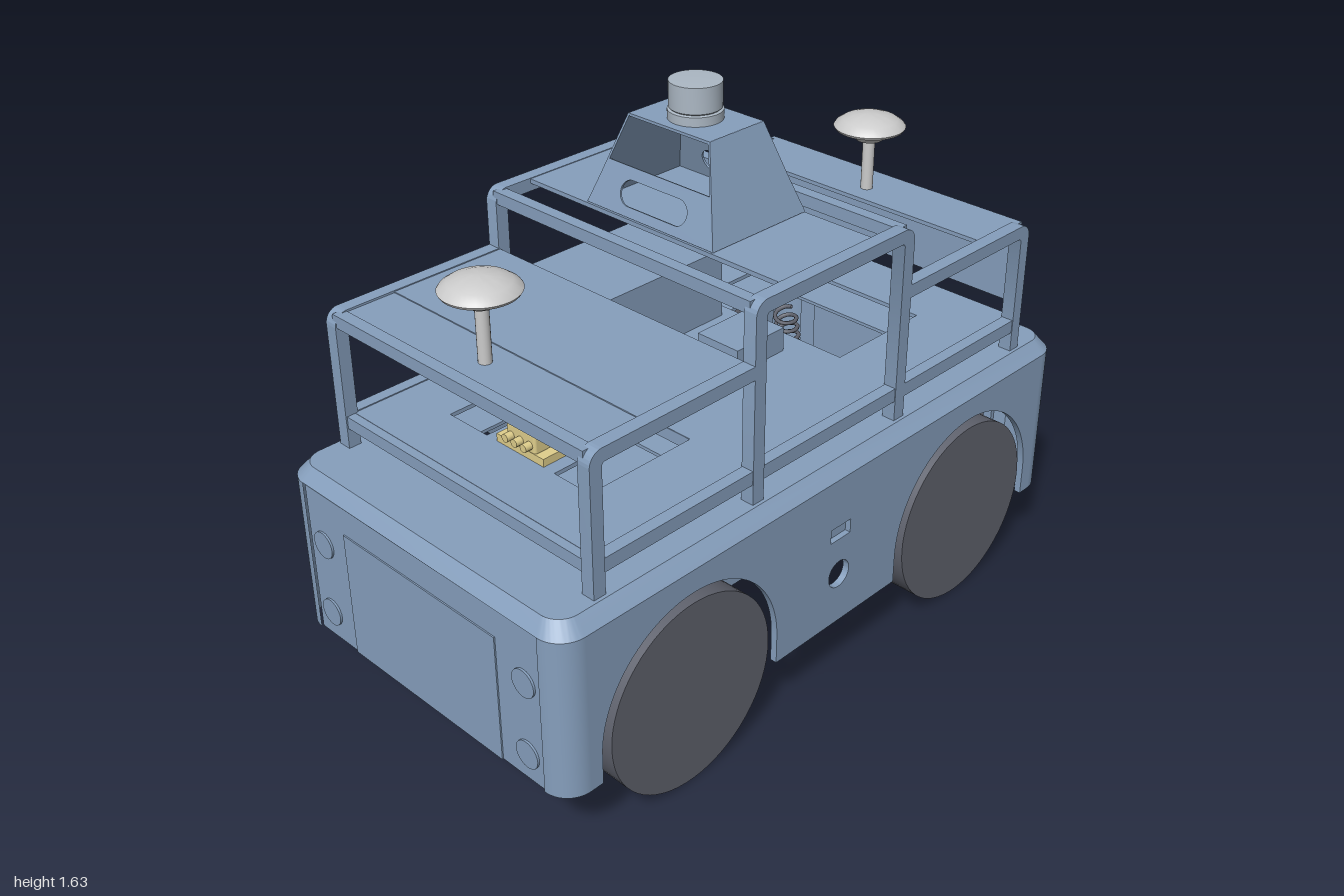
import * as THREE from 'three';
import { RoundedBoxGeometry } from 'three/addons/geometries/RoundedBoxGeometry.js';
import { toCreasedNormals } from 'three/addons/utils/BufferGeometryUtils.js';

const mat = (color) => new THREE.MeshStandardMaterial({ color, side: THREE.DoubleSide });
const BLUE = mat(0x869fbd), DARK = mat(0x60636e), GREY = mat(0xcccccc);
const STEEL = mat(0xacb8c4), YELLOW = mat(0xe0cf8c), TEAL = mat(0x8cc4d0);

export function createModel() {
  const root = new THREE.Group();
  const add = (name, geo, m = BLUE, x = 0, y = 0, z = 0) => {
    const mesh = new THREE.Mesh(geo, m);
    mesh.name = name;
    mesh.position.set(x, y, z);
    root.add(mesh);
    return mesh;
  };
  // box from its limits
  const box = (name, x0, x1, y0, y1, z0, z1, m = BLUE) =>
    add(name, new THREE.BoxGeometry(x1 - x0, y1 - y0, z1 - z0), m, (x0 + x1) / 2, (y0 + y1) / 2, (z0 + z1) / 2);
  const poly = (pts) => new THREE.Shape(pts.map((p) => new THREE.Vector2(...p)));
  const rect = (x0, x1, y0, y1) => poly([[x0, y0], [x1, y0], [x1, y1], [x0, y1]]);
  const slab = (shape, depth) =>
    toCreasedNormals(new THREE.ExtrudeGeometry(shape, { depth, bevelEnabled: false, curveSegments: 24 }), 0.6);
  const circleHole = (x, y, r) => new THREE.Path().absarc(x, y, r, 0, Math.PI * 2, true);
  const roundedRect = (a, b, r) => {
    const s = new THREE.Shape();
    s.absarc(a - r, b - r, r, 0, Math.PI / 2);
    s.absarc(-a + r, b - r, r, Math.PI / 2, Math.PI);
    s.absarc(-a + r, -b + r, r, Math.PI, Math.PI * 1.5);
    s.absarc(a - r, -b + r, r, Math.PI * 1.5, Math.PI * 2);
    s.closePath();
    return s;
  };
  // inverted U path, open at the bottom
  const arch = (path, w, y0, y1, r) => {
    path.lineTo(-w, y0);
    path.lineTo(-w, y1 - r);
    path.absarc(-w + r, y1 - r, r, Math.PI, Math.PI / 2, true);
    path.absarc(w - r, y1 - r, r, Math.PI / 2, 0, true);
    path.lineTo(w, y0);
    return path;
  };
  // ruled strip between two outlines at heights ha and hb along z
  const strip = (a, b, ha, hb) => {
    const pos = [], idx = [];
    a.forEach((p, i) => pos.push(p.x, p.y, ha, b[i].x, b[i].y, hb));
    for (let i = 0; i < a.length - 1; i++) {
      const k = i * 2;
      idx.push(k, k + 2, k + 1, k + 1, k + 2, k + 3);
    }
    const g = new THREE.BufferGeometry();
    g.setAttribute('position', new THREE.Float32BufferAttribute(pos, 3));
    g.setIndex(idx);
    return toCreasedNormals(g, 0.6);
  };

  // long body walls with wheel arches
  const side = new THREE.Shape();
  side.moveTo(-0.92, 0.67);
  side.lineTo(-0.92, 0.2);
  for (const c of [-0.565, 0.565]) {
    side.lineTo(c - 0.315, 0.2);
    side.absarc(c, 0.288, 0.315, Math.PI, 0, true);
    side.lineTo(c + 0.315, 0.2);
  }
  side.lineTo(0.92, 0.2);
  side.lineTo(0.92, 0.67);
  side.holes.push(circleHole(0, 0.36, 0.042), rect(-0.04, 0.04, 0.477, 0.52));
  for (const s of [1, -1]) {
    const wall = add('bodySide', slab(side, 0.02), BLUE, 0, 0, s * 0.52);
    if (s < 0) wall.rotation.y = Math.PI;
    box('sideSocket', -0.045, 0.045, 0.47, 0.525, s * 0.518 - 0.005, s * 0.518 + 0.005);
  }
  // rounded body corners
  [[1, 1], [1, -1], [-1, -1], [-1, 1]].forEach(([sx, sz], i) =>
    add('bodyCorner', new THREE.CylinderGeometry(0.08, 0.08, 0.47, 12, 1, true, i * Math.PI / 2, Math.PI / 2),
      BLUE, sx * 0.92, 0.435, sz * 0.46));
  // front end with bevelled recess
  const end = new THREE.Shape();
  end.moveTo(-0.46, 0.67);
  end.lineTo(-0.46, 0.2);
  arch(end, 0.39, 0.2, 0.59, 0.09);
  end.lineTo(0.46, 0.2);
  end.lineTo(0.46, 0.67);
  add('endSurround', slab(end, 0.006), BLUE, 0.994).rotation.y = Math.PI / 2;
  const outline = (w, top, r) => arch(new THREE.Path().moveTo(-w, 0.2), w, 0.201, top, r).getPoints(12);
  add('recessBevel', strip(outline(0.39, 0.59, 0.09), outline(0.36, 0.56, 0.065), 1, 0.965)).rotation.y = Math.PI / 2;
  box('recessedPanel', 0.95, 0.965, 0.2, 0.565, -0.365, 0.365);
  // other end: plain wall with a service panel
  box('endWall', -0.994, -0.98, 0.2, 0.67, -0.46, 0.46);
  box('servicePanel', -0.998, -0.99, 0.2, 0.58, -0.3, 0.3);
  const disc = (name, r, x, y, z) =>
    add(name, new THREE.CylinderGeometry(r, r, 0.008, 24), BLUE, x, y, z).rotation.z = Math.PI / 2;
  for (const z of [-1, 1]) {
    disc('sensorCover', 0.042, 0.967, 0.395, z * 0.21);
    disc('sensorLens', 0.008, 0.971, 0.395, z * 0.21);
    for (const y of [0.28, 0.5]) disc('lampCover', 0.04, -0.996, y, z * 0.4);
  }
  // chamfered shoulder
  add('bodyShoulder', strip(roundedRect(1, 0.54, 0.08).getPoints(10), roundedRect(0.97, 0.505, 0.06).getPoints(10),
    0.67, 0.71)).rotation.x = -Math.PI / 2;
  // body top and raised shelf, both with openings
  const plate = (name, shape, y, t) => {
    shape.holes.push(rect(0.3, 0.65, -0.27, 0.27), rect(-0.65, -0.3, -0.27, 0.27));
    add(name, slab(shape, t), BLUE, 0, y).rotation.x = -Math.PI / 2;
  };
  plate('bodyTop', roundedRect(0.97, 0.505, 0.06), 0.7, 0.01);
  plate('shelf', rect(-0.82, 0.82, -0.46, 0.46), 0.795, 0.012);

  // wheels and springs
  const coil = new THREE.CatmullRomCurve3(Array.from({ length: 57 }, (_, i) => {
    const a = i / 8 * Math.PI * 2;
    return new THREE.Vector3(Math.cos(a) * 0.035, i / 56 * 0.24 - 0.12, Math.sin(a) * 0.035);
  }));
  const coilGeo = new THREE.TubeGeometry(coil, 140, 0.007, 6);
  for (const x of [-1, 1]) for (const z of [-1, 1]) {
    add('wheel', new THREE.CylinderGeometry(0.283, 0.283, 0.11, 64), DARK, x * 0.567, 0.288, z * 0.485).rotation.x = Math.PI / 2;
    add('spring', coilGeo, DARK, x * 0.83, 0.41, z * 0.37).rotation.z = x * 0.2;
  }
  // chassis frame
  for (const s of [-1, 1]) {
    box('chassisRail', -0.87, 0.87, 0.25, 0.285, s * 0.19 - 0.018, s * 0.19 + 0.018);
    for (const [x, w] of [[0.27, 0.42], [0.43, 0.19], [0.85, 0.42]])
      box('chassisCrossBar', s * x - 0.02, s * x + 0.02, 0.25, 0.285, -w, w);
    box('motorMount', s * 0.615 - 0.018, s * 0.615 + 0.018, 0.25, 0.32, -0.1, 0.1);
    box('controllerBracket', s * 0.47 - 0.07, s * 0.47 + 0.07, 0.57, 0.61, -0.26, -0.14);
  }
  box('batteryBox', -0.28, 0.28, 0.285, 0.42, -0.3, 0.3);

  // side railings: tall middle hoop and lower end hoops
  const hoop = new THREE.Shape();
  hoop.moveTo(-0.305, 0.705);
  arch(hoop, 0.305, 0.71, 1.28, 0.04);
  hoop.lineTo(0.265, 0.71);
  hoop.lineTo(0.265, 1.232);
  hoop.absarc(0.255, 1.232, 0.01, 0, Math.PI / 2);
  hoop.absarc(-0.255, 1.232, 0.01, Math.PI / 2, Math.PI);
  hoop.lineTo(-0.265, 0.71);
  const low = new THREE.Shape();
  low.moveTo(0.3, 1.11);
  low.lineTo(0.81, 1.11);
  low.absarc(0.81, 1.07, 0.04, Math.PI / 2, 0, true);
  low.lineTo(0.85, 0.71);
  low.lineTo(0.812, 0.71);
  low.lineTo(0.812, 1.062);
  low.absarc(0.802, 1.062, 0.01, 0, Math.PI / 2);
  low.lineTo(0.3, 1.072);
  for (const z of [-0.475, 0.475]) {
    add('middleHoop', slab(hoop, 0.04), BLUE, 0, 0, z - 0.02);
    for (const s of [-1, 1]) add('endHoop', slab(low, 0.04), BLUE, 0, 0, z - 0.02).scale.x = s;
    box('lowerRail', -0.82, 0.82, 0.77, 0.81, z - 0.018, z + 0.018);
  }
  for (const s of [-1, 1]) for (const [x, y] of [[0.828, 0.77], [0.828, 1.07], [0.283, 1.24], [0.283, 0.77]])
    box('crossRail', s * x - 0.018, s * x + 0.018, y, y + 0.036, -0.47, 0.47);
  // upper plates and sensor panel
  box('rearRoofPlate', -0.66, -0.3, 1.095, 1.107, -0.46, 0.46);
  box('rearAntennaPlate', -0.82, -0.66, 1.092, 1.104, -0.46, 0.46);
  box('antennaPlate', 0.655, 0.82, 1.095, 1.107, -0.46, 0.46);
  box('towerPlate', -0.18, 0.175, 1.265, 1.278, -0.46, 0.46);
  box('sensorPanel', 0.825, 0.845, 0.86, 1.04, -0.46, 0.46);

  // equipment on the shelf
  box('equipmentBox', -0.26, 0.255, 0.807, 1.02, -0.46, -0.14);
  box('smallModule', -0.25, -0.1, 0.807, 0.865, -0.06, 0.1);
  box('largeModule', 0.03, 0.22, 0.807, 0.88, -0.02, 0.13);
  box('yellowUnitShelf', -0.66, -0.42, 0.795, 0.807, -0.12, 0.14);
  add('yellowUnit', new RoundedBoxGeometry(0.2, 0.06, 0.11, 2, 0.008), YELLOW, -0.55, 0.855, 0.015);
  box('yellowUnitFoot', -0.65, -0.44, 0.807, 0.83, -0.08, 0.1, YELLOW);
  for (const z of [-0.02, 0.015, 0.05])
    add('yellowConnector', new THREE.CylinderGeometry(0.012, 0.012, 0.025, 12), YELLOW, -0.66, 0.85, z).rotation.z = Math.PI / 2;
  add('tealSensor', new RoundedBoxGeometry(0.045, 0.12, 0.18, 2, 0.01), TEAL, 0.885, 0.95, 0);
  box('tealSensorPlate', 0.845, 0.868, 0.9, 1, -0.095, 0.095, TEAL);

  // tapered sensor tower, open above its slotted end plates
  const panel = (name, shape, lean, turn, dist) => {
    const g = slab(shape, 0.006).rotateX(-Math.atan(lean / 0.25)).rotateY(turn);
    add(name, g, BLUE, Math.sin(turn) * dist, 1.278, Math.cos(turn) * dist);
  };
  for (const k of [0, 1]) {
    panel('towerSide', poly([[-0.177, 0], [0.172, 0], [0.1, 0.264], [-0.1, 0.264]]), 0.085, k * Math.PI, 0.225);
    const slotted = poly([[-0.23, 0], [0.23, 0], [0.188, 0.13], [-0.188, 0.13]]);
    const slot = new THREE.Path();
    slot.absarc(-0.085, 0.062, 0.035, Math.PI / 2, Math.PI * 1.5);
    slot.absarc(0.085, 0.062, 0.035, -Math.PI / 2, Math.PI / 2);
    slot.closePath();
    slotted.holes.push(slot);
    panel('towerEnd', slotted, 0.08, Math.PI / 2 + k * Math.PI, 0.17);
  }
  box('towerTop', -0.1, 0.1, 1.522, 1.53, -0.145, 0.145);
  const lathe = (pts) => toCreasedNormals(new THREE.LatheGeometry(pts.map((p) => new THREE.Vector2(...p)), 40), 0.6);
  add('scanner', lathe([[0, 1.53], [0.074, 1.53], [0.074, 1.555], [0.067, 1.558], [0.071, 1.562], [0.071, 1.632], [0, 1.635]]), STEEL);

  // dish antennas on poles
  const dish = [[0, 1.262], [0.04, 1.262], [0.055, 1.28], [0.1, 1.295], [0.105, 1.303], [0.1, 1.31],
    [0.08, 1.324], [0.05, 1.335], [0.02, 1.34], [0, 1.341]];
  for (const x of [-0.732, 0.728]) {
    add('antennaPole', new THREE.CylinderGeometry(0.018, 0.018, 0.17, 20), GREY, x, 1.185);
    add('antennaDish', lathe(dish), GREY, x);
  }
  return root;
}
